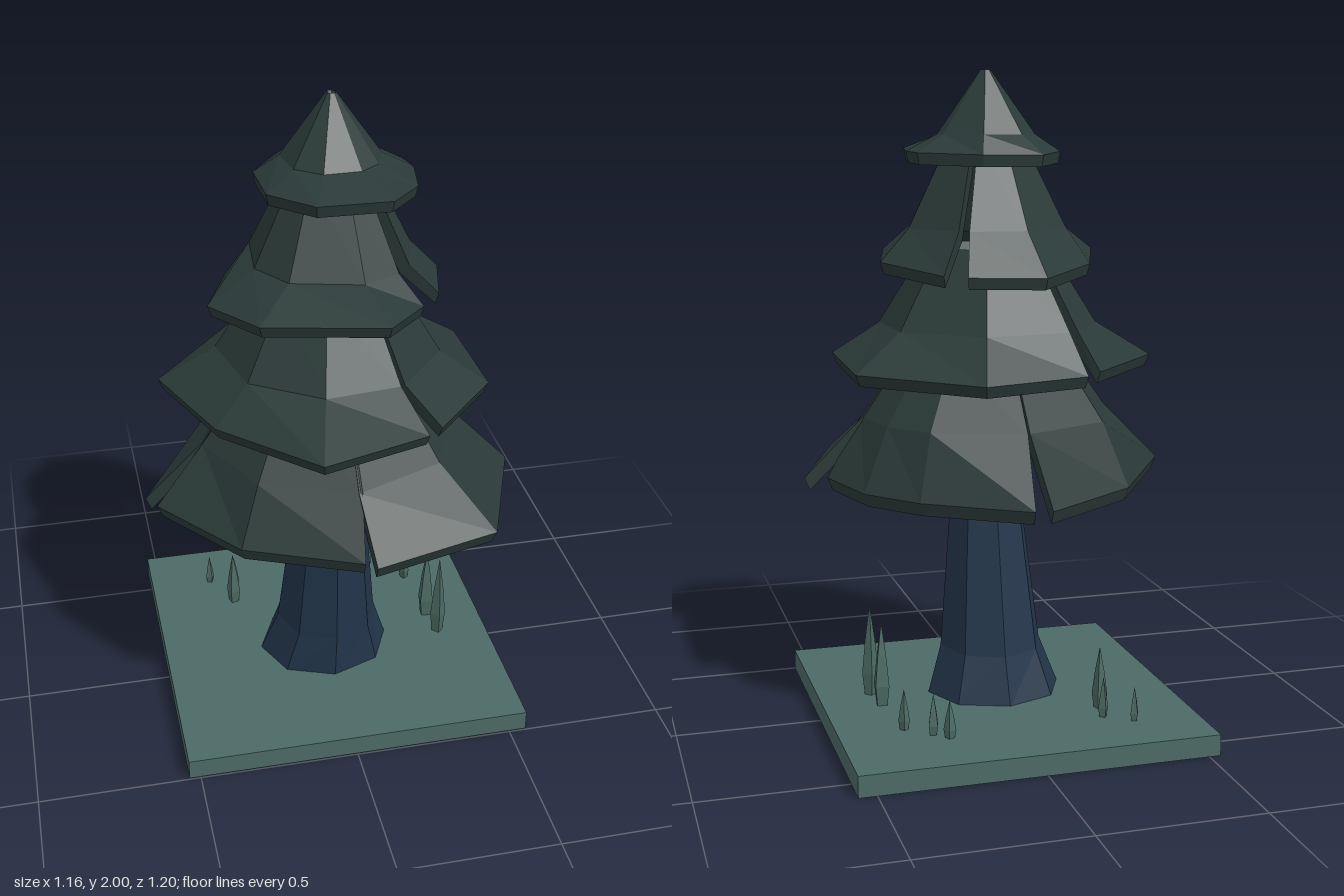
import * as THREE from 'three';

const paint = (color) => new THREE.MeshStandardMaterial({ color, flatShading: true, side: THREE.DoubleSide });

// One hanging bough panel: a closed shell running top ring -> shoulder ring -> hem and back inside.
// hem: [degrees, radius] points going front -> left side (+x) -> back -> right side.
function boughPanel({ cx, cz, top, shoulder, hemY, slope, lip, gap }, hem) {
  const section = hem.map(([deg, radius], i) => {
    const hemAngle = THREE.MathUtils.degToRad(deg);
    // panel ends reach toward their neighbour above the hem, so slits close to a V
    const reach = i === 0 ? -gap : i === hem.length - 1 ? gap : 0;
    const at = (a, r, y) => [cx + Math.sin(a) * r, y, cz + Math.cos(a) * r];
    const ring = ([y, r], t) => at(hemAngle + reach, Math.max(r - t, 0.001), y - t);
    const y = hemY + slope * Math.cos(hemAngle) * radius;
    return [
      ring(top, 0), ring(shoulder, 0), at(hemAngle, radius, y),
      at(hemAngle, radius * 0.97, y - lip), ring(shoulder, 0.03), ring(top, 0.03),
    ];
  });
  const pos = [];
  const quad = (a, b, c, d) => pos.push(...a, ...b, ...c, ...a, ...c, ...d);
  for (let i = 0; i < section.length - 1; i++) {
    const p = section[i], q = section[i + 1];
    for (let k = 0; k < p.length; k++) {
      const n = (k + 1) % p.length;
      quad(p[k], p[n], q[n], q[k]);
    }
  }
  // cut faces at both ends
  const p = section[0], q = section[section.length - 1];
  quad(p[0], p[5], p[4], p[1]);
  quad(p[1], p[4], p[3], p[2]);
  quad(q[0], q[1], q[4], q[5]);
  quad(q[1], q[2], q[3], q[4]);
  const g = new THREE.BufferGeometry();
  g.setAttribute('position', new THREE.Float32BufferAttribute(pos, 3));
  g.computeVertexNormals();
  return g;
}

// Leaning eight-sided trunk with a flared foot; rings: [y, x, z, radiusX, radiusZ]
function trunkGeometry() {
  const rings = [
    [1.2, 0.005, 0.06, 0.09, 0.09], [0.7, 0.005, 0.05, 0.112, 0.128],
    [0.21, 0.002, 0.005, 0.163, 0.175], [0.06, -0.003, -0.015, 0.215, 0.195],
  ];
  const g = new THREE.CylinderGeometry(1, 1, 3, 8, 3);
  const p = g.attributes.position;
  for (let i = 0; i < p.count; i++) {
    const [y, x, z, rx, rz] = rings[Math.round(1.5 - p.getY(i))];
    p.setXYZ(i, x + p.getX(i) * rx, y, z + p.getZ(i) * rz);
  }
  g.computeVertexNormals();
  return g;
}

export function createModel() {
  const model = new THREE.Group();
  const add = (name, geometry, material, parent = model) => {
    const m = new THREE.Mesh(geometry, material);
    m.name = name;
    parent.add(m);
    return m;
  };
  const addGroup = (name) => {
    const group = new THREE.Group();
    group.name = name;
    model.add(group);
    return group;
  };

  // Ground slab
  add('groundSlab', new THREE.BoxGeometry(1.09, 0.065, 1.095), paint(0x4c6a66)).position.set(0.01, 0.0325, -0.0525);

  add('trunk', trunkGeometry(), paint(0x22354a));

  // Foliage tiers; top and shoulder are [height, radius]
  const foliage = paint(0x2a3a38);
  const addTier = (name, shape, ...panels) => {
    const group = addGroup(name);
    panels.forEach((hem) => add('boughPanel', boughPanel(shape, hem), foliage, group));
  };
  addTier('lowestBoughs',
    { cx: 0, cz: 0.05, top: [1.16, 0.25], shoulder: [0.95, 0.4], hemY: 0.765, slope: 0.03, lip: 0.04, gap: 0.04 },
    [[3, 0.546], [44, 0.605], [88.5, 0.58]],
    [[90, 0.51], [116.5, 0.49], [140, 0.47], [179.5, 0.535]],
    [[185, 0.54], [226, 0.488], [271.5, 0.58]],
    [[277, 0.554], [317, 0.495], [360, 0.515]]);
  addTier('lowerBoughs',
    { cx: 0, cz: 0.04, top: [1.47, 0.19], shoulder: [1.23, 0.34], hemY: 1.125, slope: 0.04, lip: 0.035, gap: 0.04 },
    [[31, 0.48], [70, 0.49], [114.5, 0.506], [164, 0.478], [208, 0.43]],
    [[219, 0.412], [261, 0.516], [305, 0.474], [347, 0.57], [384, 0.492]]);
  addTier('upperBoughs',
    { cx: 0.01, cz: 0.03, top: [1.79, 0.12], shoulder: [1.53, 0.25], hemY: 1.435, slope: 0.1, lip: 0.035, gap: 0.04 },
    [[56, 0.338], [97, 0.342], [144, 0.344]],
    [[156, 0.34], [194.5, 0.361], [243, 0.326], [287, 0.403], [320, 0.419], [371, 0.428], [397, 0.35]]);
  addTier('crown',
    { cx: 0.02, cz: -0.01, top: [2, 0.015], shoulder: [1.81, 0.15], hemY: 1.76, slope: 0.04, lip: 0.035, gap: 0 },
    [[23.5, 0.3], [52, 0.274], [88, 0.245], [108, 0.242], [162.5, 0.2],
      [210, 0.238], [256, 0.227], [303, 0.257], [340, 0.288], [383.5, 0.3]]);

  // Grass blades: [x, z, height, half width]
  const blades = [
    [0.39, 0.02, 0.3, 0.026], [0.375, -0.08, 0.27, 0.03], [0.355, -0.3, 0.13, 0.017],
    [0.28, -0.36, 0.13, 0.019], [0.24, -0.4, 0.12, 0.019],
    [-0.33, -0.42, 0.11, 0.015], [-0.265, -0.29, 0.2, 0.024], [-0.25, -0.365, 0.13, 0.017],
  ];
  const blade = new THREE.LatheGeometry(
    [[0.7, 0], [1, 0.25], [0.62, 0.6], [0, 1]].map(([r, y]) => new THREE.Vector2(r, y)), 4);
  const grassPaint = paint(0x4c6a62);
  const grass = addGroup('grass');
  blades.forEach(([x, z, h, w], i) => {
    const m = add('grassBlade', blade, grassPaint, grass);
    m.position.set(x, 0.06, z);
    m.scale.set(w, h, w);
    m.rotation.y = i * 0.7;
  });

  return model;
}
